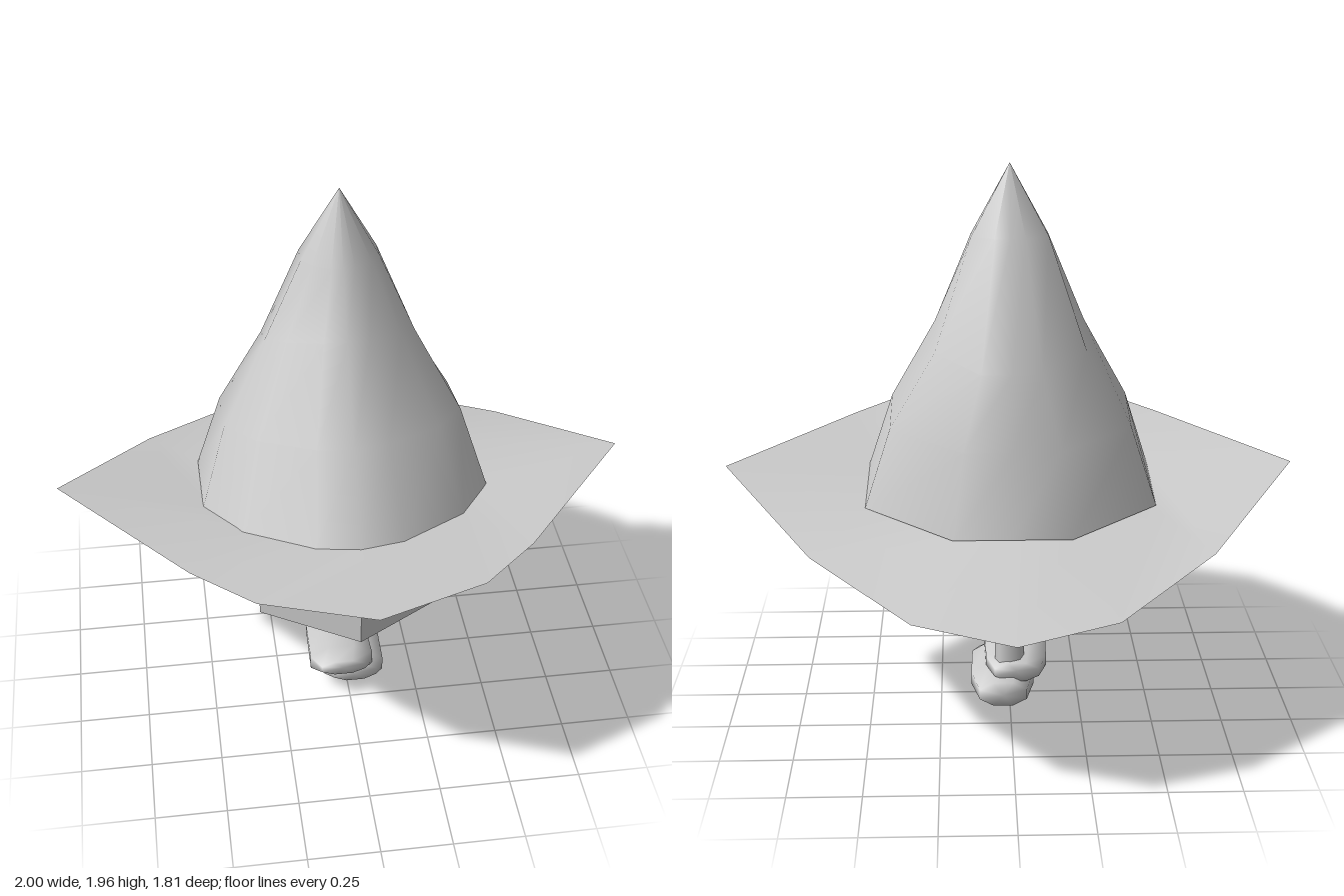
import * as THREE from 'three';

const mat = new THREE.MeshStandardMaterial({ color: 0xcccccc, side: THREE.DoubleSide });
const flat = new THREE.MeshStandardMaterial({ color: 0xcccccc, side: THREE.DoubleSide, flatShading: true });

// Skin a list of closed rings (arrays of [x, y, z]) with smooth normals
function loft(rings) {
  const n = rings[0].length, index = [];
  for (let r = 0; r < rings.length - 1; r++) {
    for (let i = 0; i < n; i++) {
      const a = r * n + i, b = r * n + (i + 1) % n;
      index.push(a, b, b + n, a, b + n, a + n);
    }
  }
  const geo = new THREE.BufferGeometry();
  geo.setAttribute('position', new THREE.Float32BufferAttribute(rings.flat(2), 3));
  geo.setIndex(index);
  geo.computeVertexNormals();
  return geo;
}

// Close a half outline, listed from front to back, over to the -x side
const mirror = (half) => [...half, ...half.slice(1, -1).reverse().map(([x, ...rest]) => [-x, ...rest])];

// Hat opening as seen from above, x and z
const opening = mirror([[0, 0.5], [0.15, 0.47], [0.38, 0.32], [0.5, 0.13], [0.5, -0.21], [0.2, -0.44], [0, -0.44]]);

// Scaled and shifted copy of the opening, tilted from yBack to yFront
const ring = (sx, sz, dz, yBack, yFront) => opening.map(([x, z]) =>
  [x * sx, yBack + (yFront - yBack) * (z + 0.44) / 0.94, z * sz + dz]);

export function createModel() {
  const model = new THREE.Group();
  const add = (name, geo, material = mat) => {
    const mesh = new THREE.Mesh(geo, material);
    mesh.name = name;
    model.add(mesh);
    return mesh;
  };

  // Pointed hat, leaning back a little
  add('hatCone', loft([
    ring(1, 1, 0, 0.77, 0.91),
    ring(0.82, 0.73, -0.045, 1.05, 1.19),
    ring(0.51, 0.49, -0.095, 1.3, 1.5),
    ring(0.26, 0.21, -0.05, 1.72, 1.72),
    ring(0, 0, -0.05, 1.96, 1.96),
  ]));

  // Wide brim, raised in front and drooping behind
  const brimEdge = mirror([[0, 0.96, 0.9], [0.37, 0.94, 0.75], [0.57, 0.92, 0.55], [1, 0.89, 0],
    [0.67, 0.73, -0.48], [0.33, 0.63, -0.8], [0, 0.6, -0.91]]);
  add('hatBrim', loft([brimEdge, ring(0.96, 0.96, 0, 0.77, 0.91)]));

  // Bowl-shaped head
  add('head', loft([
    ring(0, 0, 0.13, 0.375, 0.375),
    ring(0.42, 0.44, 0.13, 0.43, 0.43),
    ring(0.78, 0.78, 0.05, 0.6, 0.55),
    ring(0.96, 0.96, 0, 0.765, 0.905),
  ]));

  // Wedge-shaped face plate
  const wedge = new THREE.Shape([new THREE.Vector2(-0.33, -0.31), new THREE.Vector2(0, -0.51), new THREE.Vector2(0.33, -0.31)]);
  const plate = add('facePlate', new THREE.ExtrudeGeometry(wedge, { depth: 0.35, bevelEnabled: false }));
  plate.rotation.x = -Math.PI / 2;
  plate.position.y = 0.51;

  // Flat collar under the head
  add('collar', new THREE.BoxGeometry(0.34, 0.13, 0.005), flat).position.set(0, 0.385, 0.03);

  // Legs, close together
  for (const [name, z, bottom] of [['rightLeg', 0.015, 0.13], ['leftLeg', -0.035, 0.08]]) {
    const leg = add(name, new THREE.CylinderGeometry(0.053, 0.053, 0.45 - bottom, 8));
    leg.position.set(0, (0.45 + bottom) / 2, z);
  }

  // Shoes, skinned from heel to toe: z, half width, bottom, top
  const shoe = (name, cx, sections) => {
    const rings = sections.map(([z, w, lo, hi]) => Array.from({ length: 8 }, (_, i) => {
      const t = (i + 0.5) * Math.PI / 4, k = 1 / Math.cos(Math.PI / 8);
      return [cx + w * k * Math.cos(t), (lo + hi) / 2 + (hi - lo) / 2 * k * Math.sin(t), z];
    }));
    add(name, loft(rings));
  };
  shoe('rightShoe', -0.025, [[-0.1, 0, 0.13, 0.13], [-0.1, 0.08, 0.09, 0.16], [0, 0.11, 0.08, 0.17],
    [0.19, 0.115, 0.065, 0.195], [0.255, 0.08, 0.12, 0.18], [0.255, 0, 0.15, 0.15]]);
  shoe('leftShoe', 0.025, [[-0.135, 0, 0.05, 0.05], [-0.135, 0.085, 0.01, 0.1], [0, 0.115, 0, 0.115],
    [0.16, 0.11, 0, 0.13], [0.21, 0.08, 0.04, 0.11], [0.21, 0, 0.07, 0.07]]);

  // Short arms coming out of the head
  for (const s of [1, -1]) {
    const arm = add(s > 0 ? 'leftArm' : 'rightArm', new THREE.CylinderGeometry(0.035, 0.055, 0.14, 5));
    arm.position.set(s * 0.41, 0.68, 0.06);
    arm.rotation.z = s * 0.9;
  }

  // Left hand: a chunky fist
  const fist = add('leftHand', loft([[-0.1, 0], [-0.1, 0.075], [0, 0.1], [0.09, 0.075], [0.09, 0]].map(([y, r]) =>
    Array.from({ length: 6 }, (_, i) => [r * Math.sin(i * Math.PI / 3), y, r * Math.cos(i * Math.PI / 3)]))));
  fist.position.set(0.49, 0.67, -0.02);
  fist.rotation.z = -1.1;

  // Right hand: flaring downwards
  const cuff = add('rightHand', new THREE.CylinderGeometry(0.045, 0.1, 0.12, 6));
  cuff.position.set(-0.435, 0.62, -0.02);
  cuff.rotation.y = Math.PI / 6;

  return model;
}
